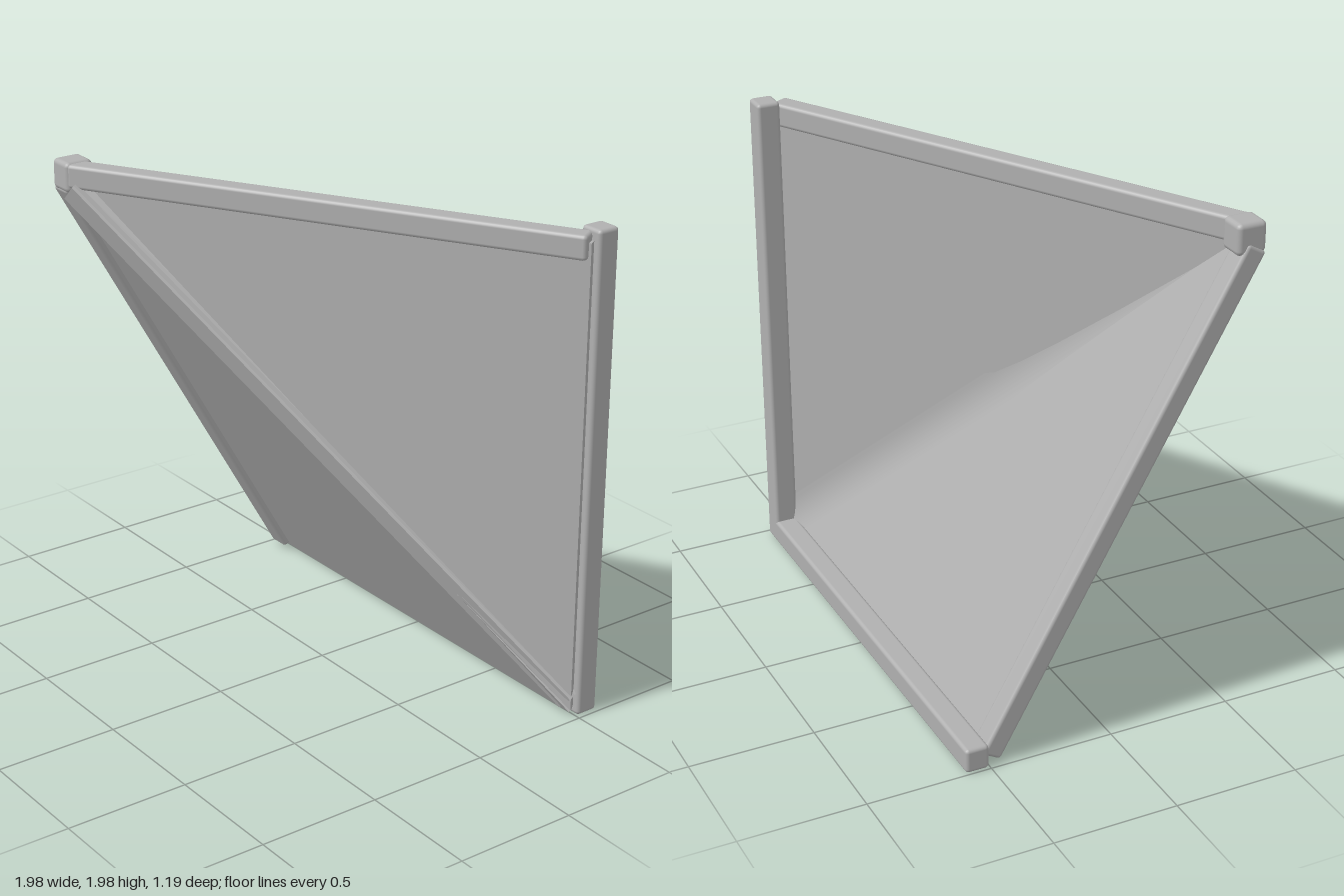
import * as THREE from 'three';
import { toCreasedNormals } from 'three/addons/utils/BufferGeometryUtils.js';
import { RoundedBoxGeometry } from 'three/addons/geometries/RoundedBoxGeometry.js';

const SLANT = Math.asin(0.493); // angle between the upright panel and the back plane

// Softly rounded bar given by its lower and upper corners
function bar(min, max, radius = 0.015) {
  const size = max.map((v, i) => v - min[i]);
  return new RoundedBoxGeometry(...size, 2, radius)
    .translate(...max.map((v, i) => (v + min[i]) / 2));
}

// Mirror a geometry across the diagonal ridge, keeping faces outward
function mirrored(source) {
  const g = source.index ? source.toNonIndexed() : source.clone();
  g.applyMatrix4(new THREE.Matrix4().set(0, -1, 0, 0, -1, 0, 0, 0, 0, 0, 1, 0, 0, 0, 0, 1));
  for (const attr of Object.values(g.attributes)) {
    const n = attr.itemSize, a = attr.array;
    for (let i = 0; i < attr.count; i += 3) {
      for (let k = 0; k < n; k++) {
        const p = i * n + k, q = (i + 2) * n + k;
        [a[p], a[q]] = [a[q], a[p]];
      }
    }
  }
  return g;
}

export function createModel() {
  const model = new THREE.Group();
  model.name = 'foldedCornerPanel';
  const grey = new THREE.MeshStandardMaterial({ color: 0xb0b0b0 });
  grey.name = 'plain grey';

  const add = (name, geometry) => {
    const mesh = new THREE.Mesh(geometry, grey);
    mesh.name = name;
    mesh.position.y = 1;
    model.add(mesh);
  };
  const addPair = (name, mirrorName, geometry) => {
    add(name, geometry);
    add(mirrorName, mirrored(geometry));
  };

  // Straight bars along the back plane: upright post and base bar
  addPair('backPost', 'baseBar', bar([0.885, -0.985, -0.6], [0.985, 0.995, -0.505]));

  // Bars that run forward to the front corner
  addPair('topBar', 'leftBar', bar([-1.05, 0.885, 0], [1.07, 0.982, 0.086]).rotateY(SLANT));

  // Triangular infill panels either side of the ridge
  const triangle = new THREE.Shape([
    new THREE.Vector2(-1.06, 0.9),
    new THREE.Vector2(1.08, -0.96),
    new THREE.Vector2(1.08, 0.95),
    new THREE.Vector2(-1.06, 0.95),
  ]);
  const panel = new THREE.ExtrudeGeometry(triangle, { depth: 0.045, bevelEnabled: false })
    .translate(0, 0, 0.015).rotateY(SLANT);
  addPair('uprightPanel', 'slopingPanel', panel);

  // Diagonal ridge: flat chamfered front, hollow fillet in the valley behind
  const section = new THREE.Shape();
  section.moveTo(-0.086, -0.016);
  section.quadraticCurveTo(0, 0.016, 0.086, -0.016);
  section.lineTo(0.05, 0.045);
  section.lineTo(0.05, 0.065);
  section.lineTo(0.042, 0.073);
  section.lineTo(-0.042, 0.073);
  section.lineTo(-0.05, 0.065);
  section.lineTo(-0.05, 0.045);
  section.closePath();
  const ridge = new THREE.ExtrudeGeometry(section, { depth: 2.77, bevelEnabled: false, curveSegments: 10 })
    .translate(0, 0, -1.36);
  const across = new THREE.Vector3(1, 1, 0).normalize();
  const along = new THREE.Vector3(0.653, -0.653, -0.385).normalize();
  const out = new THREE.Vector3().crossVectors(along, across);
  ridge.applyMatrix4(new THREE.Matrix4().makeBasis(across, out, along));
  add('diagonalRidge', toCreasedNormals(ridge, 0.3));

  // Block joining the bars at the front corner
  add('cornerBlock', bar([-0.975, 0.865, 0.475], [-0.862, 0.988, 0.595], 0.02));

  return model;
}
